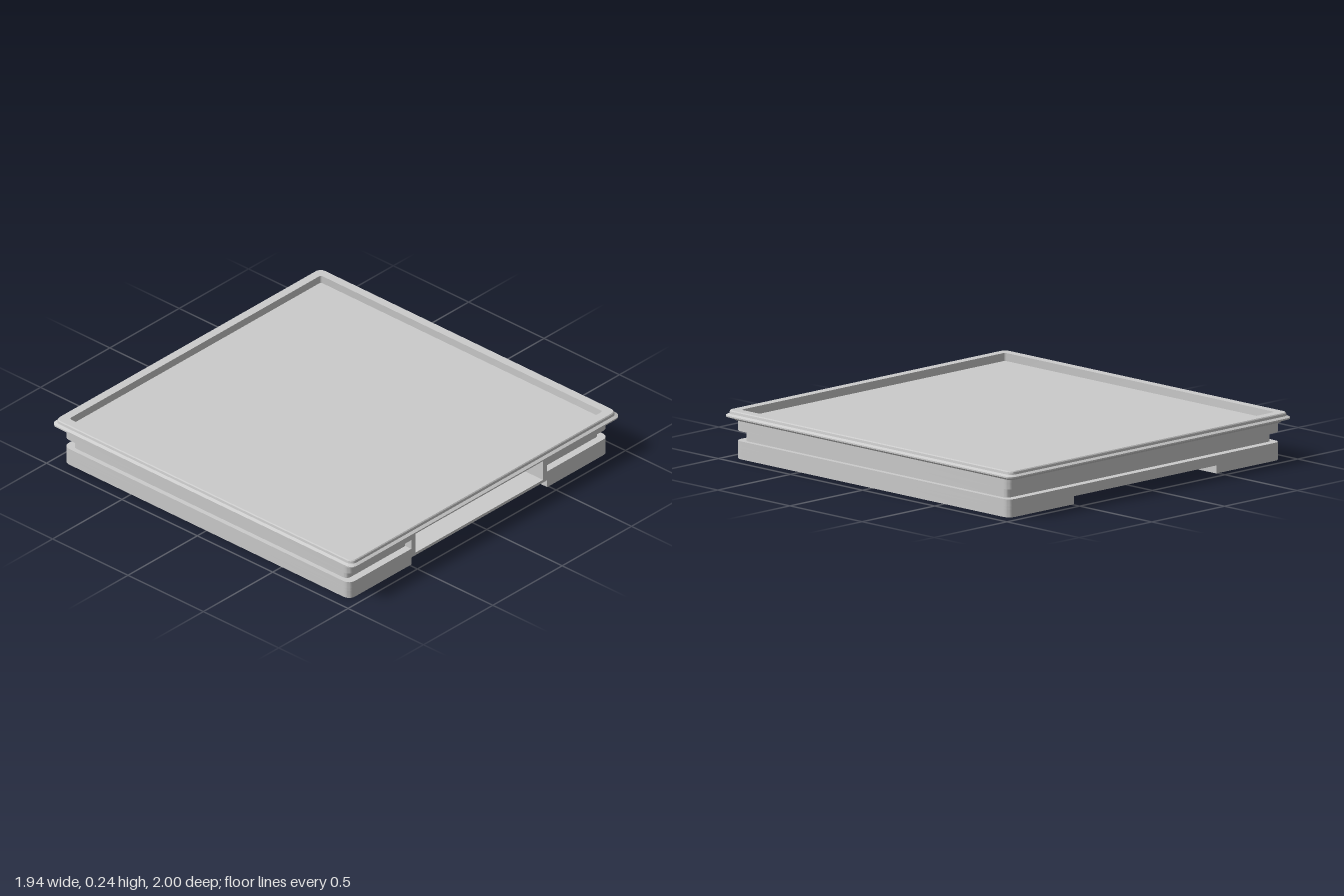
import * as THREE from 'three';
import { toCreasedNormals } from 'three/addons/utils/BufferGeometryUtils.js';

const material = new THREE.MeshStandardMaterial({ color: 0xcccccc });

// Plan outline from corners [x, z, radius], with softened corners
function outline(points) {
  const shape = new THREE.Shape();
  const n = points.length;
  points.forEach(([x, z, r = 0], i) => {
    const corner = new THREE.Vector2(x, z);
    const toward = (p) => new THREE.Vector2(p[0], p[1]).sub(corner).setLength(r).add(corner);
    const a = toward(points[(i + n - 1) % n]);
    const b = toward(points[(i + 1) % n]);
    if (i === 0) shape.moveTo(a.x, a.y); else shape.lineTo(a.x, a.y);
    if (r > 0) shape.quadraticCurveTo(x, z, b.x, b.y);
  });
  shape.closePath();
  return shape;
}

// Half outline on +x, mirrored to the other side
function mirrored(half) {
  return [...half, ...half.map(([x, z, r]) => [-x, z, r]).reverse()];
}

// Horizontal slab with the given plan, from y0 to y1
function slab(name, points, y0, y1) {
  const geometry = new THREE.ExtrudeGeometry(outline(points), {
    depth: y1 - y0, bevelEnabled: false, curveSegments: 8,
  });
  geometry.rotateX(Math.PI / 2).translate(0, y1, 0);
  const mesh = new THREE.Mesh(toCreasedNormals(geometry, 0.6), material);
  mesh.name = name;
  return mesh;
}

// Ring swept round a rounded rectangle; profile is a closed loop of [inset, y]
function rim(name, halfX, halfZ, radius, profile) {
  const steps = 8, positions = [], index = [];
  const perRing = 4 * (steps + 1);
  for (const [inset, y] of profile) {
    const r = Math.max(radius - inset * 0.4, 0.015);
    for (let c = 0; c < 4; c++) {
      const sx = c === 0 || c === 3 ? 1 : -1;
      const sz = c < 2 ? 1 : -1;
      for (let s = 0; s <= steps; s++) {
        const a = (c + s / steps) * Math.PI / 2;
        positions.push(
          sx * (halfX - inset - r) + r * Math.cos(a), y,
          sz * (halfZ - inset - r) + r * Math.sin(a));
      }
    }
  }
  for (let i = 0; i < profile.length; i++) {
    const next = (i + 1) % profile.length;
    for (let j = 0; j < perRing; j++) {
      const k = (j + 1) % perRing;
      const a = i * perRing + j, b = i * perRing + k;
      const c = next * perRing + j, d = next * perRing + k;
      index.push(a, c, b, b, c, d);
    }
  }
  const geometry = new THREE.BufferGeometry();
  geometry.setAttribute('position', new THREE.Float32BufferAttribute(positions, 3));
  geometry.setIndex(index);
  const mesh = new THREE.Mesh(toCreasedNormals(geometry, 0.5), material);
  mesh.name = name;
  return mesh;
}

export function createModel() {
  const model = new THREE.Group();
  model.name = 'trayBase';

  const X = 0.935, Z = 0.95, R = 0.045;   // body half sizes and corner radius
  const GX = 0.91, GZ = 0.91;             // half sizes inside the groove
  const notch = 0.49, pocket = 0.46;      // half widths of channel and pocket

  // Feet on both sides of the underside channel
  for (const s of [1, -1]) {
    model.add(slab(s > 0 ? 'leftFoot' : 'rightFoot', [
      [s * notch, Z], [s * X, Z, R], [s * X, -Z, R], [s * notch, -Z],
    ], 0, 0.04));
  }

  // Body layers, open at the front for the pocket
  const full = mirrored([[X, Z, R], [X, -Z, R]]);
  const open = (back) => mirrored([
    [pocket, back], [pocket, Z], [X, Z, R], [X, -Z, R],
  ]);
  const grooved = mirrored([
    [pocket, -0.84], [pocket, Z], [notch, Z], [notch, GZ],
    [GX, GZ, 0.03], [GX, -GZ, 0.03],
  ]);
  model.add(
    slab('pocketFloor', full, 0.04, 0.055),
    slab('lowerBody', open(-0.88), 0.055, 0.09),
    slab('groovedBody', grooved, 0.09, 0.14),
    slab('upperBody', open(-0.88), 0.14, 0.175),
    slab('trayFloor', full, 0.175, 0.2),
  );

  // Flange and raised lip around the tray
  model.add(rim('trayRim', 0.972, 1, 0.04, [
    [0.065, 0.19], [0.037, 0.19], [0.03, 0.2], [0.012, 0.203], [0, 0.208],
    [0, 0.215], [0.014, 0.223], [0.016, 0.235], [0.02, 0.24],
    [0.065, 0.24], [0.065, 0.2],
  ]));

  return model;
}
